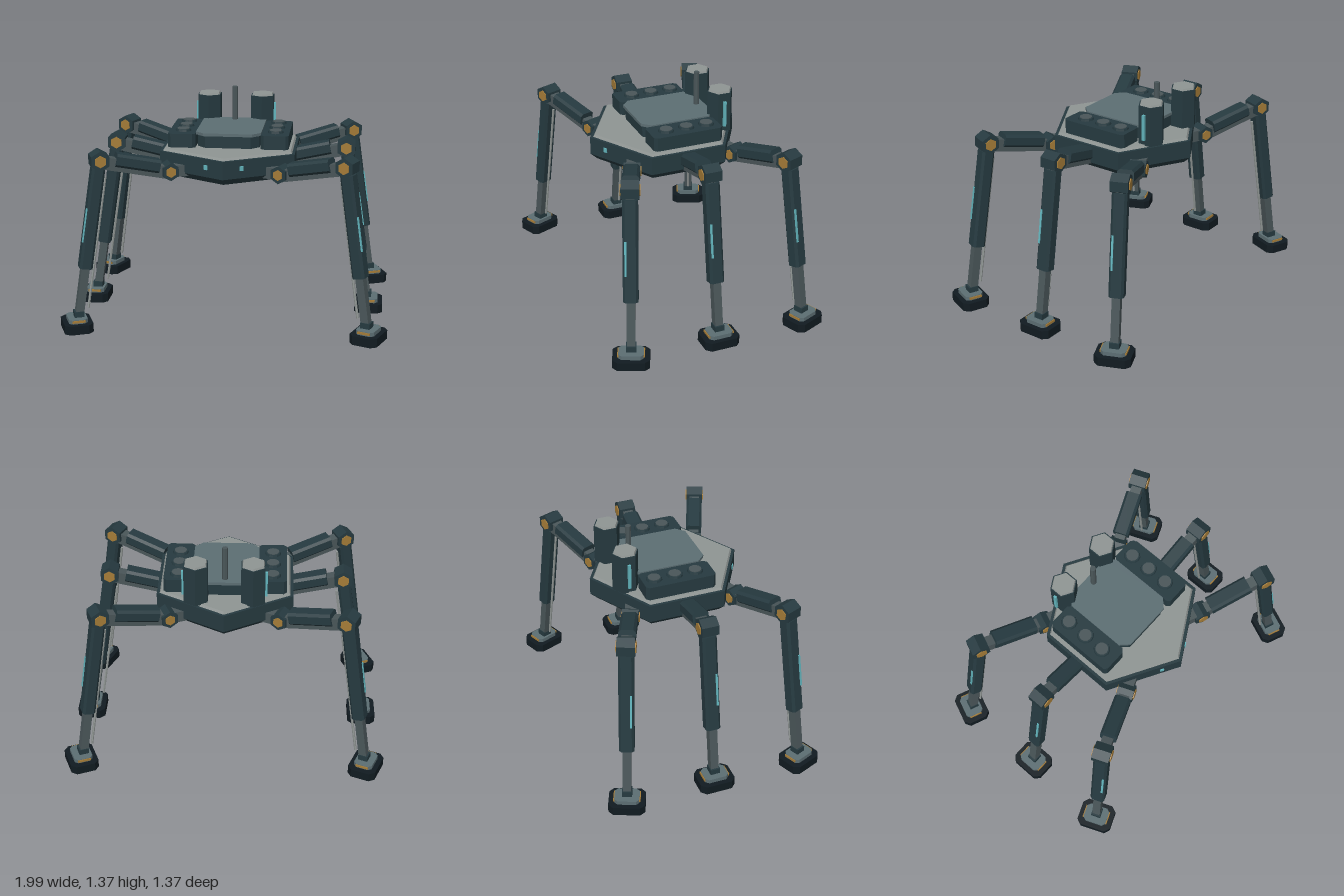
import * as THREE from 'three';

const mat = (color) => new THREE.MeshStandardMaterial({ color, flatShading: true });
const M = {
  hull: mat(0x263a40), deck: mat(0x8f9593), slate: mat(0x5c6e73), steel: mat(0x4a5659),
  brass: mat(0xa57c38), cyan: mat(0x62b4bc), rubber: mat(0x111b21), rod: mat(0x8f9593),
};

function add(parent, name, geometry, material, x = 0, y = 0, z = 0) {
  const mesh = new THREE.Mesh(geometry, material);
  mesh.name = name;
  mesh.position.set(x, y, z);
  parent.add(mesh);
  return mesh;
}

const box = (x, y, z) => new THREE.BoxGeometry(x, y, z);
const prism = (r0, r1, h, n = 6) => new THREE.CylinderGeometry(r1, r0, h, n);

// Upright block with chamfered vertical corners, centred on its origin
function chamferBlock(w, h, d, c) {
  const x = w / 2, z = d / 2;
  const shape = new THREE.Shape([
    [x, -z + c], [x, z - c], [x - c, z], [-x + c, z],
    [-x, z - c], [-x, -z + c], [-x + c, -z], [x - c, -z],
  ].map(([a, b]) => new THREE.Vector2(a, b)));
  return new THREE.ExtrudeGeometry(shape, { depth: h, bevelEnabled: false })
    .translate(0, 0, -h / 2).rotateX(-Math.PI / 2);
}

// Hexagonal pivot with a brass cap on each end
function joint(parent, name, x, y, r, length) {
  const g = new THREE.Group();
  g.name = name;
  g.position.set(x, y, 0);
  g.rotation.x = Math.PI / 2;
  g.rotation.z = 0;
  parent.add(g);
  add(g, name + 'Housing', prism(r, r, length), M.hull);
  add(g, name + 'Caps', prism(r * 0.6, r * 0.6, length + 0.012), M.brass);
}

function makeLeg(name, x, z, angle, side) {
  const leg = new THREE.Group();
  leg.name = name;
  leg.position.set(x * side, 0, z);
  leg.rotation.y = side > 0 ? -angle : angle - Math.PI;

  const hip = new THREE.Vector2(0, 0.955), knee = new THREE.Vector2(0.427, 1.05);
  const ankle = new THREE.Vector2(0.577, 0.08);
  add(leg, 'hipMount', box(0.12, 0.07, 0.07), M.steel, -0.06, hip.y, 0);
  joint(leg, 'hipJoint', hip.x, hip.y, 0.055, 0.1);
  joint(leg, 'kneeJoint', knee.x, knee.y, 0.062, 0.105);

  // Thigh: beam running along local +x from hip to knee
  const thigh = new THREE.Group();
  thigh.name = 'thigh';
  thigh.position.set(hip.x, hip.y, 0);
  thigh.rotation.z = Math.atan2(knee.y - hip.y, knee.x - hip.x);
  leg.add(thigh);
  const thighLength = hip.distanceTo(knee);
  add(thigh, 'thighBeam', box(thighLength, 0.075, 0.065), M.steel, thighLength / 2, -0.01, 0);
  add(thigh, 'thighArmour', chamferBlock(0.08, 0.27, 0.1, 0.015).rotateZ(-Math.PI / 2), M.hull, 0.205, 0.02, 0);

  // Shin: local -y runs from knee to ankle
  const shin = new THREE.Group();
  shin.name = 'shin';
  shin.position.set(knee.x, knee.y, 0);
  shin.rotation.z = Math.atan2(ankle.x - knee.x, knee.y - ankle.y);
  leg.add(shin);
  add(shin, 'shinBeam', box(0.05, 0.96, 0.05), M.steel, 0, -0.49, 0);
  add(shin, 'shinArmour', chamferBlock(0.08, 0.62, 0.09, 0.014), M.hull, 0, -0.36, 0);
  add(shin, 'shinLight', box(0.012, 0.21, 0.012), M.cyan, 0.039, -0.4, 0.028 * side);
  add(shin, 'shinRod', prism(0.008, 0.008, 0.83, 6), M.rod, -0.052, -0.51, 0);

  // Foot
  const foot = new THREE.Group();
  foot.name = 'foot';
  foot.position.x = 0.59;
  leg.add(foot);
  add(foot, 'footPad', chamferBlock(0.175, 0.055, 0.22, 0.03), M.rubber, 0, 0.0275, 0);
  add(foot, 'footPlate', chamferBlock(0.115, 0.025, 0.15, 0.02), M.slate, 0, 0.0675, 0);
  for (const s of [-1, 1])
    add(foot, 'footTrim', box(0.08, 0.014, 0.01), M.brass, 0, 0.07, s * 0.076);
  add(foot, 'ankleCollar', box(0.06, 0.04, 0.06), M.hull, -0.013, 0.095, 0);
  return leg;
}

export function createModel() {
  const model = new THREE.Group();
  model.name = 'sixLeggedWalker';

  // Hexagonal hull with chamfered belly and a pale deck
  const body = new THREE.Group();
  body.name = 'body';
  model.add(body);
  add(body, 'belly', prism(0.43, 0.475, 0.04), M.hull, 0, 0.92, 0);
  add(body, 'hull', prism(0.475, 0.475, 0.11), M.hull, 0, 0.995, 0);
  add(body, 'deck', prism(0.455, 0.445, 0.015), M.deck, 0, 1.0575, 0);

  // Raised centre housing and its cover
  add(body, 'centreHousing', chamferBlock(0.38, 0.08, 0.45, 0.05), M.hull, 0, 1.1, -0.035);
  add(body, 'centreCover', chamferBlock(0.4, 0.018, 0.475, 0.05), M.slate, 0, 1.149, -0.035);

  for (const s of [-1, 1]) {
    // Side pods with three round hatches
    add(body, 'sidePod', chamferBlock(0.17, 0.09, 0.44, 0.018), M.hull, s * 0.285, 1.105, -0.02);
    for (let i = 0; i < 3; i++) {
      const z = -0.165 + 0.13 * i;
      add(body, 'hatchRim', prism(0.05, 0.046, 0.014, 12), M.hull, s * 0.285, 1.155, z);
      add(body, 'hatch', prism(0.038, 0.038, 0.018, 12), M.steel, s * 0.285, 1.157, z);
    }
    // Rear canisters
    add(body, 'canister', prism(0.082, 0.082, 0.245), M.hull, s * 0.17, 1.182, -0.305);
    add(body, 'canisterCap', prism(0.076, 0.07, 0.014), M.deck, s * 0.17, 1.31, -0.305);
    add(body, 'canisterLight', box(0.02, 0.16, 0.018), M.cyan, s * 0.245, 1.175, -0.305);
    // Lamps on the two front faces
    add(body, 'frontLamp', box(0.024, 0.028, 0.016), M.cyan, s * 0.105, 1.0, 0.413)
      .rotation.y = s * Math.PI / 6;
  }
  add(body, 'mast', prism(0.018, 0.018, 0.31, 8), M.steel, 0, 1.215, -0.225);

  // Belly sensor
  add(body, 'sensorBase', prism(0.095, 0.095, 0.035, 8), M.hull, 0, 0.8875, 0);
  add(body, 'sensorBarrel', prism(0.07, 0.07, 0.04, 8), M.steel, 0, 0.855, 0);
  add(body, 'sensorRing', prism(0.062, 0.066, 0.012, 8), M.brass, 0, 0.83, 0);
  add(body, 'sensorLens', prism(0.04, 0.04, 0.016, 8), M.rubber, 0, 0.83, 0);

  // Three legs per side
  const splay = Math.PI / 8;
  for (const s of [-1, 1]) {
    const side = s > 0 ? 'left' : 'right';
    model.add(makeLeg(side + 'FrontLeg', 0.34, 0.335, splay, s));
    model.add(makeLeg(side + 'MiddleLeg', 0.29, 0, 0, s));
    model.add(makeLeg(side + 'RearLeg', 0.34, -0.335, -splay, s));
  }
  return model;
}
